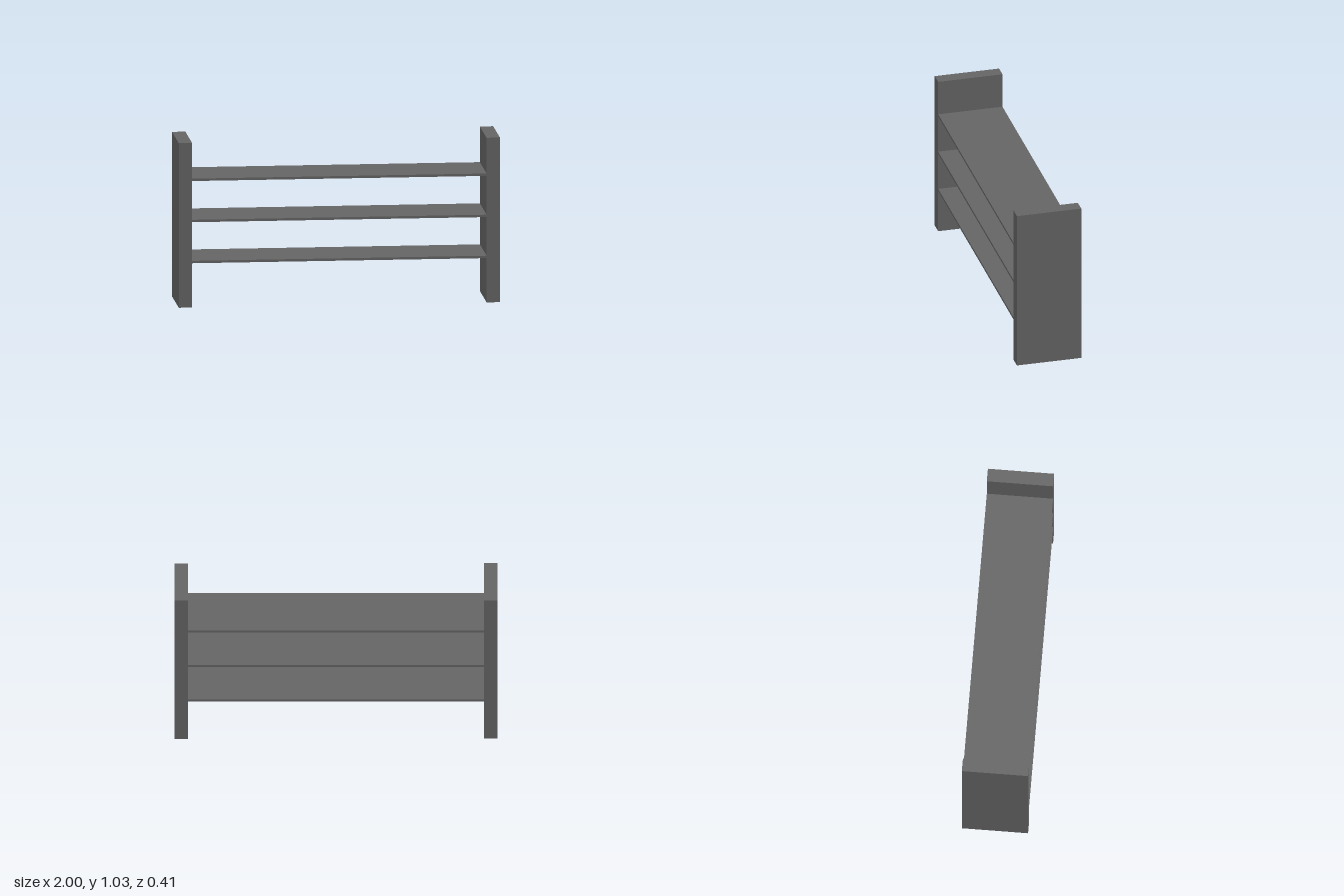
import * as THREE from 'three';

const HEIGHT = 1.035, DEPTH = 0.412, PANEL = 0.083, SHELF = 0.015;

export function createModel() {
  const group = new THREE.Group();
  const darkGrey = new THREE.MeshStandardMaterial({ color: 0x646464 });
  darkGrey.name = 'dark grey';

  const addBoard = (name, width, height, x, y) => {
    const board = new THREE.Mesh(new THREE.BoxGeometry(width, height, DEPTH), darkGrey);
    board.name = name;
    board.position.set(x, y, 0);
    group.add(board);
  };

  // Upright side panels
  for (const [name, side] of [['leftPanel', 1], ['rightPanel', -1]]) {
    addBoard(name, PANEL, HEIGHT, side * (1 - PANEL / 2), HEIGHT / 2);
  }

  // Thin shelves spanning between the panels
  const shelves = [['lowerShelf', 0.286], ['middleShelf', 0.544], ['upperShelf', 0.803]];
  for (const [name, y] of shelves) addBoard(name, 2 - 2 * PANEL, SHELF, 0, y);

  return group;
}
